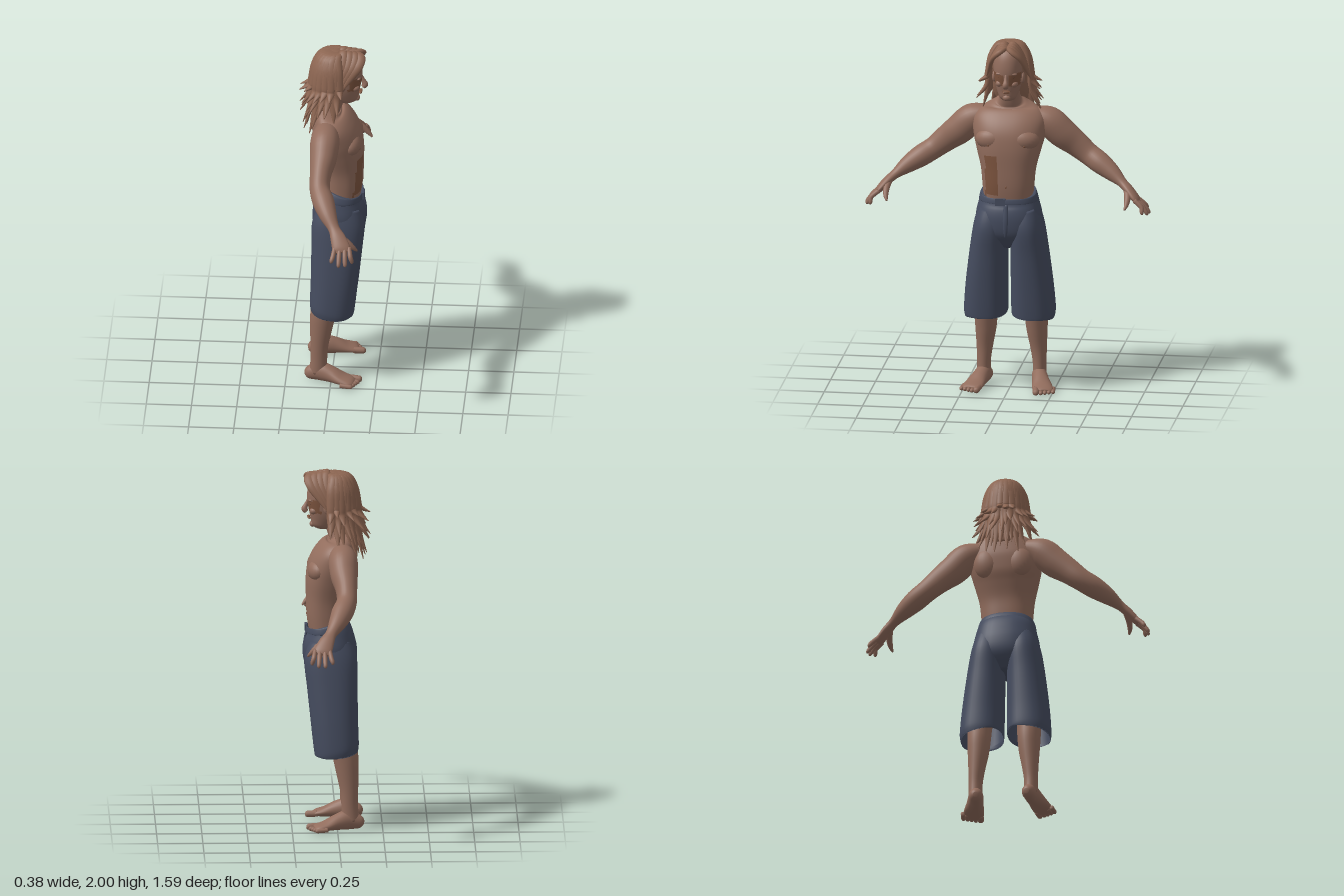
import * as THREE from 'three';

const material = (name, color, side = THREE.FrontSide) => {
  const m = new THREE.MeshStandardMaterial({ color, side });
  m.name = name;
  return m;
};

// Smooth interpolation through rows of numbers
function spline(rows, t) {
  const f = Math.min(t, 0.99999) * (rows.length - 1), i = Math.floor(f), k = f - i;
  const at = (j) => rows[Math.max(0, Math.min(rows.length - 1, j))];
  const [p, q, r, s] = [at(i - 1), at(i), at(i + 1), at(i + 2)];
  return q.map((v, c) => v + 0.5 * k * (r[c] - p[c]
    + k * (2 * p[c] - 5 * v + 4 * r[c] - s[c] + k * (3 * (v - r[c]) + s[c] - p[c]))));
}

// Loft of ovals along a path. Each row is [x, y, z, radius along ref, radius across].
function sweep(rows, { ref = [1, 0, 0], n = 20, steps = 5, power = 2, openEnd = false, pick } = {}) {
  const count = (rows.length - 1) * steps, pos = [], idx = [], alt = [];
  const samples = Array.from({ length: count + 1 }, (_, i) => spline(rows, i / count));
  const centre = samples.map((s) => new THREE.Vector3(s[0], s[1], s[2]));
  const bend = (c) => Math.sign(c) * Math.abs(c) ** (2 / power);
  samples.forEach((s, i) => {
    const t = centre[Math.min(i + 1, count)].clone().sub(centre[Math.max(i - 1, 0)]).normalize();
    const u = new THREE.Vector3(...ref).addScaledVector(t, -t.dot(new THREE.Vector3(...ref))).normalize();
    const v = t.clone().cross(u);
    for (let j = 0; j < n; j++) {
      const a = (j / n) * Math.PI * 2;
      const p = centre[i].clone().addScaledVector(u, Math.max(s[3], 0.001) * bend(Math.cos(a)))
        .addScaledVector(v, Math.max(s[4], 0.001) * bend(Math.sin(a)));
      pos.push(p.x, p.y, p.z);
    }
  });
  for (let i = 0; i < count; i++) for (let j = 0; j < n; j++) {
    const a = i * n + j, b = i * n + (j + 1) % n, c = b + n, d = a + n;
    const mid = [0, 1, 2].map((k) => (pos[a * 3 + k] + pos[c * 3 + k]) / 2);
    (pick && pick(...mid) ? alt : idx).push(a, b, c, a, c, d);
  }
  const last = count * n, tip = pos.length / 3;
  pos.push(...centre[0].toArray(), ...centre[count].toArray());
  for (let j = 0; j < n; j++) {
    const k = (j + 1) % n;
    idx.push(tip, k, j);
    if (!openEnd) idx.push(tip + 1, last + j, last + k);
  }
  const g = new THREE.BufferGeometry();
  g.setAttribute('position', new THREE.Float32BufferAttribute(pos, 3));
  g.setIndex([...idx, ...alt]);
  if (pick) { g.addGroup(0, idx.length, 0); g.addGroup(idx.length, alt.length, 1); }
  g.computeVertexNormals();
  return g;
}

export function createModel() {
  const root = new THREE.Group();
  const skin = material('skin', 0x926d5d), tan = material('tanned skin', 0x7e553f);
  const hair = material('hair', 0x8d6652), dark = material('eyes', 0x4a342b);
  const cloth = material('shorts cloth', 0x454c5f, THREE.DoubleSide);
  const add = (name, geometry, mat) => {
    const m = new THREE.Mesh(geometry, mat);
    m.name = name;
    root.add(m);
    return m;
  };
  const blob = (name, mat, p, r) => {
    const m = add(name, new THREE.SphereGeometry(1, 24, 16), mat);
    m.position.set(...p);
    m.scale.set(...r);
    return m;
  };
  const side = (rows, s) => rows.map(([x, y, z, a, b]) => [x, y, z * s, a, b]);

  // Torso and neck
  add('torso', sweep([
    [0.055, 1.08, 0, 0.095, 0.135], [0.06, 1.18, 0, 0.106, 0.143], [0.058, 1.28, 0, 0.113, 0.153],
    [0.045, 1.38, 0, 0.128, 0.178], [0.025, 1.46, 0, 0.134, 0.198], [-0.003, 1.54, 0, 0.115, 0.205],
    [-0.02, 1.6, 0, 0.083, 0.165], [-0.015, 1.635, 0, 0.064, 0.095], [0, 1.665, 0, 0.055, 0.058],
    [0.03, 1.76, 0, 0.055, 0.055],
  ], { n: 48, steps: 6, power: 2.3, pick: (x, y, z) => x > 0.07 && z > 0.05 && z < 0.12 && y > 1.13 && y < 1.37 }),
  [skin, tan]);
  blob('navel', tan, [0.166, 1.19, 0], [0.003, 0.008, 0.005]);

  // Head and face
  add('head', sweep([
    [0.105, 1.672, 0, 0.022, 0.02], [0.1, 1.685, 0, 0.046, 0.042], [0.085, 1.715, 0, 0.068, 0.057],
    [0.07, 1.755, 0, 0.089, 0.07], [0.06, 1.8, 0, 0.103, 0.077], [0.055, 1.86, 0, 0.109, 0.082],
    [0.05, 1.92, 0, 0.1, 0.078], [0.045, 1.96, 0, 0.07, 0.055], [0.045, 1.972, 0, 0.02, 0.02],
  ], { n: 40, power: 2.2, pick: (x, y, z) => x > 0.09 && y > 1.765 && y < 1.835 && Math.abs(z) > 0.012 }), [skin, tan]);
  add('nose', sweep([
    [0.156, 1.835, 0, 0.008, 0.008], [0.168, 1.805, 0, 0.011, 0.01], [0.178, 1.779, 0, 0.017, 0.017],
    [0.168, 1.764, 0, 0.013, 0.016],
  ], { n: 14 }), skin);
  blob('upperLip', tan, [0.155, 1.738, 0], [0.009, 0.005, 0.025]);
  blob('lowerLip', tan, [0.152, 1.729, 0], [0.009, 0.006, 0.02]);
  blob('chin', skin, [0.133, 1.695, 0], [0.017, 0.018, 0.023]);

  // Shorts: hips, waistband and fly
  add('shortsHips', sweep([
    [0.03, 0.83, 0, 0.08, 0.04], [0.032, 0.91, 0, 0.138, 0.165], [0.037, 1, 0, 0.147, 0.183],
    [0.041, 1.08, 0, 0.13, 0.168], [0.052, 1.13, 0, 0.11, 0.153],
  ], { n: 40, power: 2.3 }), cloth);
  const band = add('waistband', sweep([
    [0.05, 1.09, 0, 0.113, 0.155], [0.05, 1.1, 0, 0.122, 0.164], [0.053, 1.135, 0, 0.114, 0.157],
    [0.055, 1.144, 0, 0.104, 0.15],
  ], { n: 40, power: 2.3 }), cloth);
  band.name = 'waistband';
  const tab = add('waistTab', new THREE.BoxGeometry(0.012, 0.04, 0.055), cloth);
  tab.position.set(0.17, 1.105, 0.03);
  add('fly', sweep([
    [0.168, 1.09, 0, 0.006, 0.012], [0.182, 1, 0, 0.007, 0.015], [0.173, 0.92, 0, 0.007, 0.01],
    [0.145, 0.88, 0, 0.004, 0.004],
  ], { n: 12 }), cloth);

  for (const s of [1, -1]) {
    const pair = (name, rows, mat, options) => add(name, sweep(side(rows, s), options), mat);

    blob('chestMuscle', skin, [0.1, 1.45, 0.085 * s], [0.062, 0.065, 0.092]);
    blob('shoulderBlade', skin, [-0.065, 1.47, 0.09 * s], [0.05, 0.09, 0.075]);
    blob('nipple', tan, [0.152, 1.425, 0.1 * s], [0.006, 0.008, 0.008]);
    blob('eye', dark, [0.145, 1.815, 0.033 * s], [0.006, 0.005, 0.013]);
    blob('brow', skin, [0.145, 1.835, 0.034 * s], [0.012, 0.008, 0.025]);
    blob('cheek', skin, [0.125, 1.775, 0.04 * s], [0.025, 0.02, 0.022]);
    blob('ear', skin, [0.055, 1.795, 0.08 * s], [0.02, 0.032, 0.012]);

    // Arm down to the palm
    pair('arm', [
      [-0.025, 1.56, 0.12, 0.06, 0.05], [-0.03, 1.528, 0.21, 0.08, 0.082], [-0.035, 1.46, 0.285, 0.075, 0.083],
      [-0.045, 1.4, 0.36, 0.06, 0.072], [-0.045, 1.343, 0.43, 0.056, 0.062], [-0.02, 1.3, 0.5, 0.06, 0.06],
      [0.01, 1.255, 0.57, 0.048, 0.047], [0.045, 1.21, 0.632, 0.032, 0.027], [0.07, 1.175, 0.675, 0.042, 0.024],
      [0.09, 1.135, 0.713, 0.049, 0.02], [0.097, 1.113, 0.73, 0.042, 0.013],
    ], skin, { n: 28 });

    // Fingers and thumb
    [[0.056, 0.04, 1.066, 0.77], [0.083, 0.08, 1.05, 0.784], [0.11, 0.116, 1.05, 0.778], [0.135, 0.152, 1.06, 0.757]]
      .forEach(([bx, tx, ty, tz]) => pair('finger', [
        [bx, 1.135, 0.712, 0.012, 0.013], [(bx + tx) / 2, 1.1, 0.752, 0.013, 0.013],
        [tx, ty + 0.012, tz - 0.001, 0.011, 0.011], [tx, ty, tz, 0.005, 0.005],
      ], skin, { n: 10 }));
    pair('thumb', [
      [0.075, 1.18, 0.663, 0.02, 0.02], [0.122, 1.145, 0.672, 0.018, 0.018],
      [0.155, 1.112, 0.67, 0.013, 0.013], [0.176, 1.09, 0.662, 0.005, 0.005],
    ], skin, { n: 10, ref: [0, 0, 1] });

    // Shorts leg with a hem that dips at the front
    const leg = sweep(side([
      [0.04, 1.05, 0.085, 0.115, 0.08], [0.036, 0.95, 0.1, 0.145, 0.094], [0.027, 0.8, 0.113, 0.139, 0.105],
      [0.015, 0.6, 0.126, 0.13, 0.117], [0.004, 0.46, 0.132, 0.123, 0.122], [0.003, 0.438, 0.132, 0.118, 0.117],
    ], s), { n: 36, power: 2.3, openEnd: true });
    const p = leg.attributes.position;
    for (let i = 0; i < p.count; i++) if (p.getY(i) < 0.6) {
      p.setY(i, p.getY(i) - p.getX(i) * (0.6 - p.getY(i)));
    }
    leg.computeVertexNormals();
    add('shortsLeg', leg, cloth);

    // Lower leg, foot and toes
    pair('leg', [
      [0, 0.75, 0.12, 0.085, 0.08], [-0.03, 0.5, 0.137, 0.074, 0.068], [-0.047, 0.4, 0.14, 0.07, 0.064],
      [-0.056, 0.32, 0.143, 0.062, 0.058], [-0.065, 0.22, 0.15, 0.05, 0.046], [-0.068, 0.13, 0.155, 0.046, 0.038],
      [-0.072, 0.05, 0.155, 0.05, 0.038],
    ], skin, { n: 24 });
    pair('foot', [
      [-0.145, 0.035, 0.142, 0.014, 0.014], [-0.125, 0.04, 0.145, 0.036, 0.033], [-0.06, 0.055, 0.155, 0.054, 0.042],
      [0, 0.046, 0.17, 0.045, 0.047], [0.06, 0.03, 0.187, 0.029, 0.056], [0.11, 0.021, 0.199, 0.019, 0.056],
      [0.128, 0.017, 0.203, 0.011, 0.042],
    ], skin, { n: 24, ref: [0, 1, 0] });
    for (let i = 0; i < 5; i++) {
      const r = i ? 0.0125 : 0.018, x = 0.172 - i * 0.012, z = 0.165 + i * 0.021 + (i ? 0.005 : 0);
      pair('toe', [
        [x - 0.07, r + 0.004, z - 0.006, r, r], [x - 0.02, r + 0.001, z, r, r],
        [x - 0.006, r, z + 0.001, r * 0.8, r * 0.8], [x, r, z + 0.001, r * 0.3, r * 0.3],
      ], skin, { n: 10, ref: [0, 1, 0] });
    }

    // Fringe swept from the parting to the temples
    for (let i = 0; i < 4; i++) pair('fringeStrand', [
      [0.09 - i * 0.015, 1.975, 0.005, 0.012, 0.01], [0.15 - i * 0.03, 1.966 + i * 0.005, 0.03, 0.028, 0.016],
      [0.142 - i * 0.028, 1.925, 0.075, 0.028, 0.014], [0.095 - i * 0.02, 1.86, 0.1, 0.022, 0.012],
      [0.055 - i * 0.02, 1.79 - i * 0.01, 0.122, 0.002, 0.002],
    ], hair, { n: 10 });
  }

  // Hair: skull cap, back mass and tapering strands in layers
  blob('hairCap', hair, [0.012, 1.87, 0], [0.125, 0.118, 0.1]);
  add('hairBack', sweep([
    [-0.02, 1.93, 0, 0.05, 0.06], [-0.035, 1.85, 0, 0.085, 0.1], [-0.05, 1.75, 0, 0.075, 0.105],
    [-0.07, 1.66, 0, 0.05, 0.095], [-0.09, 1.58, 0, 0.02, 0.05],
  ], { n: 24 }), hair);
  let seed = 7;
  const rand = () => (seed = (seed * 16807) % 2147483647) / 2147483647;
  [[15, 80, 1.74, 0.165], [14, 84, 1.66, 0.165], [13, 92, 1.6, 0.15], [9, 130, 1.53, 0.14]]
    .forEach(([count, from, tipY, reach], layer) => {
      for (let i = 0; i < count; i++) {
        const a = THREE.MathUtils.degToRad(from + (360 - 2 * from) * i / (count - 1) + (rand() - 0.5) * 8);
        const c = Math.cos(a), d = Math.sin(a), y = tipY + (rand() - 0.5) * 0.06;
        const out = reach + rand() * 0.03, w = 0.024 + rand() * 0.008;
        const at = (r, h, a1, b1) => [0.01 + c * r * 1.08, h, d * r, a1, b1];
        add('hairStrand', sweep([
          [0.05 + c * 0.02, 1.975 - layer * 0.006, d * 0.02, 0.01, 0.01],
          at(0.068, 1.967 - layer * 0.004, w, 0.014), at(0.107, 1.9, w, 0.015),
          at(0.122 - layer * 0.003, 1.81, w, 0.016), at(0.13 - layer * 0.003, (1.81 + y) / 2, w * 0.8, 0.014),
          at(out, y, 0.002, 0.002),
        ], { n: 10, steps: 4, ref: [-d, 0, c] }), hair);
      }
    });
  return root;
}
